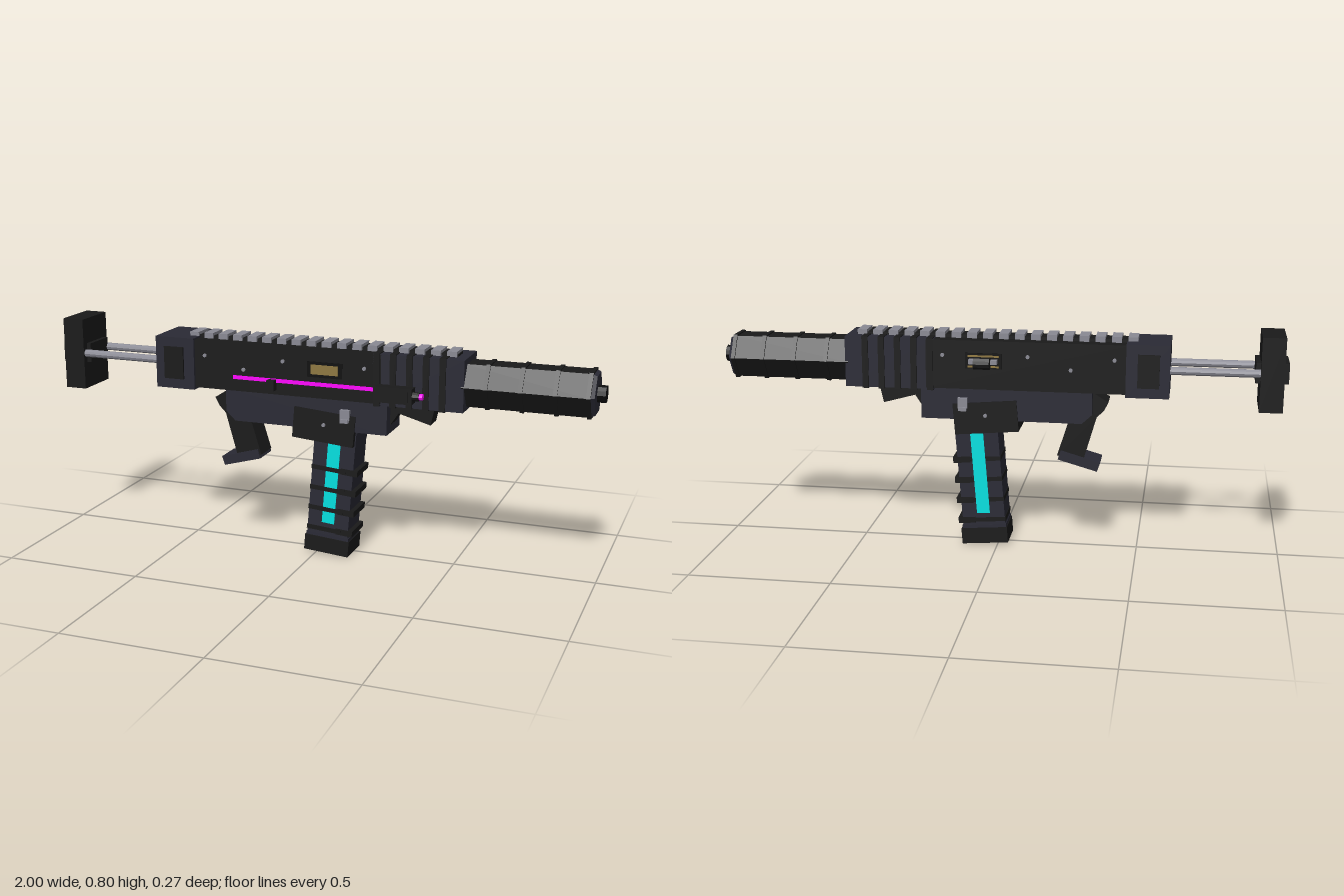
import * as THREE from 'three';

const mat = (color) => new THREE.MeshStandardMaterial({ color, flatShading: true });
const DARK = mat(0x1a1a1a), SLATE = mat(0x2a2a35), STEEL = mat(0x8a8a94), BLACK = mat(0x0c0c0c);
const MAGENTA = mat(0xff00ff), CYAN = mat(0x00e0e0), GOLD = mat(0x8f7840);

function add(parent, name, geo, material, x = 0, y = 0, z = 0) {
  const m = new THREE.Mesh(geo, material);
  m.name = name;
  m.position.set(x, y, z);
  parent.add(m);
  return m;
}

// Box given by its limits on each axis
function block(parent, name, material, x0, x1, y0, y1, z0, z1) {
  return add(parent, name, new THREE.BoxGeometry(x1 - x0, y1 - y0, z1 - z0), material,
    (x0 + x1) / 2, (y0 + y1) / 2, (z0 + z1) / 2);
}

// Cylinder or cone lying along x
function barrel(parent, name, material, x0, x1, r0, r1, sides, y, z = 0) {
  const g = new THREE.CylinderGeometry(r1, r0, x1 - x0, sides).rotateZ(-Math.PI / 2);
  return add(parent, name, g, material, (x0 + x1) / 2, y, z);
}

// Side outline extruded evenly about z = 0
function plate(parent, name, material, points, halfWidth) {
  const shape = new THREE.Shape(points.map(([x, y]) => new THREE.Vector2(x, y)));
  const g = new THREE.ExtrudeGeometry(shape, { depth: halfWidth * 2, bevelEnabled: false });
  return add(parent, name, g, material, 0, 0, -halfWidth);
}

export function createModel() {
  const root = new THREE.Group();
  const body = new THREE.Group();
  body.name = 'body';
  body.position.z = 0.007;
  root.add(body);
  const axisY = 0.667;

  // Receiver, rear block and handguard with ribs
  block(body, 'receiver', DARK, -0.46, 0.25, 0.585, 0.758, -0.083, 0.083);
  block(body, 'rearBlock', SLATE, -0.6, -0.45, 0.577, 0.764, -0.093, 0.093);
  block(body, 'rearBlockPanel', DARK, -0.565, -0.49, 0.613, 0.73, -0.1, 0.1);
  block(body, 'handguard', SLATE, 0.22, 0.54, 0.58, 0.76, -0.083, 0.083);
  for (let i = 0; i < 5; i++) {
    const x = 0.235 + i * 0.058;
    block(body, 'handguardRib', DARK, x - 0.011, x + 0.011, 0.577, 0.763, -0.088, 0.088);
  }

  // Top rail
  block(body, 'railBase', DARK, -0.485, 0.505, 0.752, 0.768, -0.032, 0.032);
  for (let i = 0; i < 18; i++) {
    const x = -0.47 + i * 0.0562;
    block(body, 'railTooth', STEEL, x - 0.017, x + 0.017, 0.757, 0.778, -0.041, 0.041);
  }

  // Hexagonal muzzle tube
  barrel(body, 'muzzleTube', DARK, 0.53, 0.955, 0.085, 0.085, 6, axisY);
  barrel(body, 'muzzleCap', SLATE, 0.955, 0.972, 0.085, 0.076, 6, axisY);
  barrel(body, 'muzzleTip', BLACK, 0.965, 1.0, 0.03, 0.03, 12, axisY);
  for (const x of [0.613, 0.73, 0.845, 0.953])
    barrel(body, 'muzzleRing', DARK, x - 0.007, x + 0.007, 0.09, 0.09, 6, axisY);

  // Sliding stock
  for (const s of [-1, 1])
    barrel(body, 'stockRod', STEEL, -0.91, -0.59, 0.014, 0.014, 10, 0.672, s * 0.068);
  block(body, 'buttPlate', DARK, -0.984, -0.904, 0.54, 0.8, -0.085, 0.085);
  block(body, 'buttPad', DARK, -1.0, -0.888, 0.637, 0.708, -0.062, 0.062);

  // Lower receiver and front stop
  plate(body, 'lowerReceiver', SLATE,
    [[-0.335, 0.59], [-0.335, 0.505], [-0.3, 0.472], [0.27, 0.472], [0.27, 0.59]], 0.074);
  plate(body, 'frontStop', DARK,
    [[0.265, 0.58], [0.27, 0.5], [0.3, 0.545], [0.415, 0.513], [0.43, 0.58]], 0.035);

  // Rear grip with flared foot
  plate(body, 'grip', DARK, [[-0.39, 0.545], [-0.375, 0.515], [-0.35, 0.49], [-0.305, 0.33],
    [-0.212, 0.345], [-0.26, 0.5], [-0.29, 0.58], [-0.335, 0.58]], 0.046);
  plate(body, 'gripFoot', SLATE,
    [[-0.366, 0.325], [-0.355, 0.293], [-0.215, 0.332], [-0.225, 0.365]], 0.052);

  // Magazine and its well, tilted together
  const well = block(body, 'magazineWell', DARK, -0.075, 0.153, 0.426, 0.538, -0.079, 0.079);
  well.rotation.z = -0.085;
  const mag = new THREE.Group();
  mag.name = 'magazine';
  mag.position.set(0.062, 0.25, 0);
  mag.rotation.z = -0.08;
  body.add(mag);
  block(mag, 'magazineBody', SLATE, -0.078, 0.076, -0.2, 0.22, -0.06, 0.06);
  block(mag, 'magazineBase', DARK, -0.083, 0.084, -0.243, -0.186, -0.066, 0.066);
  block(mag, 'magazineBaseLip', SLATE, -0.08, 0.08, -0.186, -0.174, -0.061, 0.061);
  for (const s of [-1, 1])
    block(mag, 'glowStrip', CYAN, -0.025, 0.022, -0.13, 0.19, s * 0.061 - 0.001, s * 0.061 + 0.001);
  for (let i = 0; i < 4; i++) {
    const y = -0.155 + i * 0.076;
    block(mag, 'magazineRib', DARK, 0.03, 0.092, y - 0.011, y + 0.011, -0.0615, 0.0615);
    block(mag, 'magazineBand', DARK, -0.08, 0.05, y - 0.008, y + 0.008, -0.0605, 0.063);
  }

  // Catches and screws on both sides
  for (const s of [-1, 1]) {
    const side = (name, m, x0, x1, y0, y1, za, zb) =>
      block(body, name, m, x0, x1, y0, y1, Math.min(s * za, s * zb), Math.max(s * za, s * zb));
    side('magazineCatch', STEEL, 0.103, 0.137, 0.515, 0.552, 0.07, 0.088);
    side('catchLip', STEEL, 0.106, 0.134, 0.507, 0.52, 0.07, 0.096);
    for (const [x, y, z] of [[-0.41, 0.705, 0.083], [-0.26, 0.665, 0.083], [-0.11, 0.707, 0.083],
      [0.19, 0.705, 0.083], [0.04, 0.49, 0.079]]) {
      const g = new THREE.CylinderGeometry(0.007, 0.007, 0.012, 8).rotateX(Math.PI / 2);
      add(body, 'screw', g, STEEL, x, y, s * z);
    }
    // Ejection port
    side('portFrame', BLACK, -0.018, 0.11, 0.66, 0.715, 0.08, 0.086);
    if (s > 0) side('portCover', GOLD, -0.005, 0.095, 0.671, 0.705, 0.08, 0.089);
    else for (const y of [0.668, 0.705]) side('portTrim', GOLD, -0.01, 0.1, y - 0.003, y + 0.003, 0.08, 0.09);
  }

  // Charging handle on the back side
  block(body, 'handleArm', STEEL, -0.005, 0.095, 0.68, 0.695, -0.108, -0.08);
  block(body, 'handleStem', STEEL, 0.03, 0.06, 0.68, 0.695, -0.125, -0.1);
  barrel(body, 'handleKnob', DARK, 0.017, 0.073, 0.022, 0.022, 12, 0.687, -0.12);

  // Light strip and pointer module on the front side
  block(body, 'lightStrip', MAGENTA, -0.3, 0.25, 0.629, 0.642, 0.08, 0.088);
  block(body, 'stripClip', DARK, -0.162, -0.135, 0.602, 0.64, 0.08, 0.112);
  block(body, 'pointerBody', DARK, 0.238, 0.372, 0.602, 0.656, 0.08, 0.124);
  block(body, 'pointerPanel', DARK, 0.255, 0.36, 0.611, 0.647, 0.12, 0.13);
  barrel(body, 'pointerNose', DARK, 0.37, 0.395, 0.016, 0.014, 10, 0.629, 0.108);
  barrel(body, 'pointerLens', MAGENTA, 0.393, 0.407, 0.011, 0.011, 10, 0.629, 0.108);
  return root;
}
